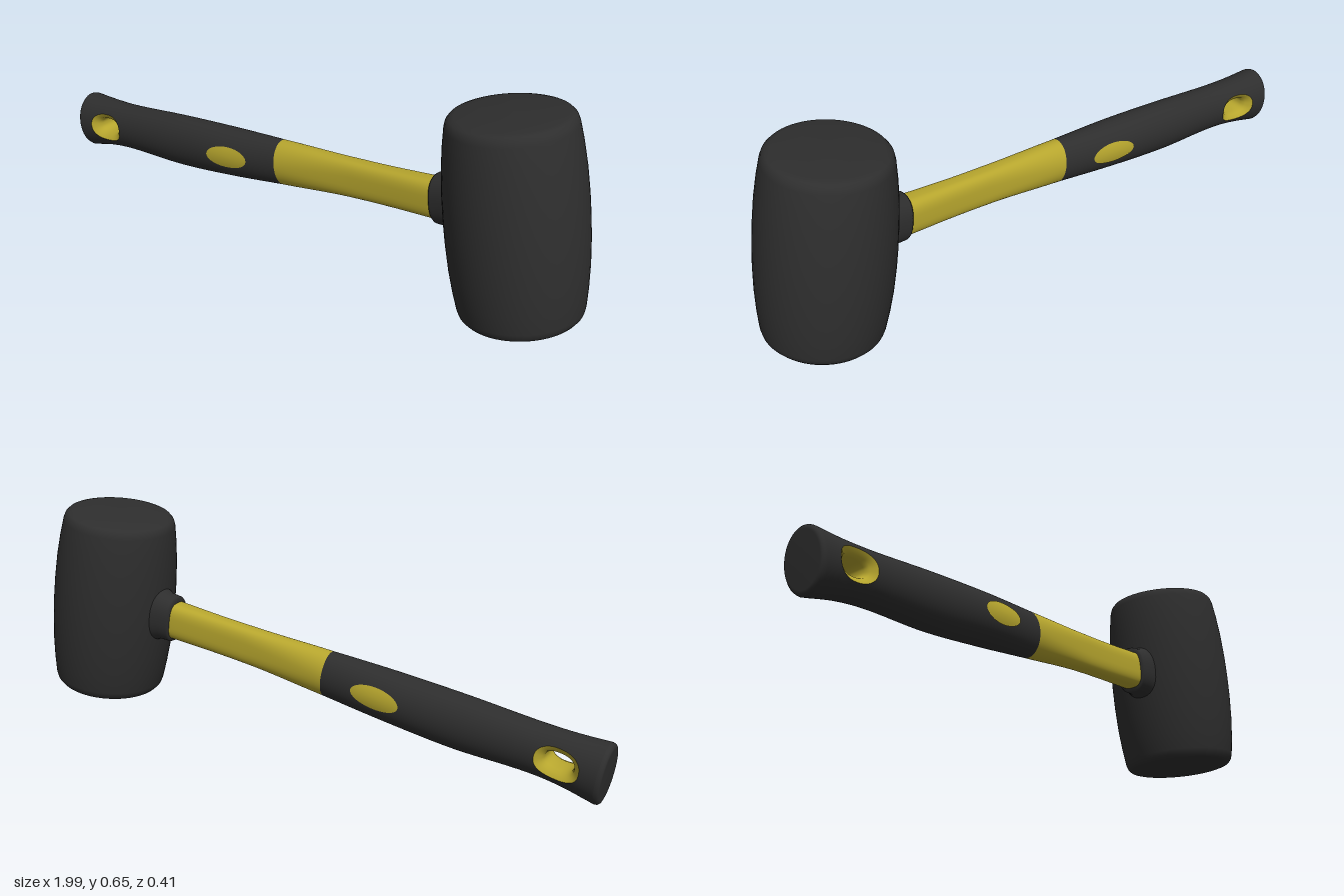
import * as THREE from 'three';
import { mergeVertices } from 'three/addons/utils/BufferGeometryUtils.js';

const rubber = new THREE.MeshStandardMaterial({ color: 0x2e2e2e });
rubber.name = 'black rubber';
const yellow = new THREE.MeshStandardMaterial({ color: 0xb8a72e });
yellow.name = 'yellow fibreglass';

// Handle sections along u (distance from the head): bottom, top, half depth, depth centre
const SECTIONS = [
  [-1.755, -0.08, 0.113, 0.073, -0.012],
  [-1.66, -0.066, 0.103, 0.067, -0.01],
  [-1.57, -0.062, 0.098, 0.063, -0.007],
  [-1.3, -0.077, 0.097, 0.067, -0.004],
  [-1.08, -0.074, 0.092, 0.067, -0.002],
  [-0.85, -0.066, 0.084, 0.053, -0.002],
  [-0.585, -0.054, 0.07, 0.038, -0.002],
  [-0.45, -0.055, 0.066, 0.037, -0.002],
  [-0.25, -0.06, 0.064, 0.043, -0.002],
];
const spline = new THREE.CubicInterpolant(
  SECTIONS.map((s) => s[0]), SECTIONS.flatMap((s) => s.slice(1)), 4, new Float32Array(4));

function section(u) {
  const [bottom, top, w, c] = spline.evaluate(u);
  return { m: (bottom + top) / 2, h: (top - bottom) / 2, w, c };
}

const spow = (x, p) => Math.sign(x) * Math.abs(x) ** p;

// Point on a section: t runs -1..1 from bottom to top, side is +1 or -1, p < 1 squares it off
function rim(u, { m, h, w, c }, t, side, p = 1, scale = 1) {
  const a = t * Math.PI / 2;
  return [u, m + scale * h * spow(Math.sin(a), p),
    c + side * scale * w * Math.max(0, Math.cos(a)) ** p];
}

// Height of the handle surface over a side-view point
function surfaceZ(u, v, side) {
  const { m, h, w, c } = section(u);
  return c + side * w * Math.sqrt(Math.max(0, 1 - ((v - m) / h) ** 2));
}

// Add a grid of triangles; the back side is wound the other way
function sheet(out, ni, nj, side, point) {
  for (let i = 0; i < ni; i++) {
    for (let j = 0; j < nj; j++) {
      const a = point(i, j), b = point(i + 1, j), c = point(i, j + 1), d = point(i + 1, j + 1);
      out.push(...(side > 0 ? [a, b, d, a, d, c] : [a, d, b, a, c, d]).flat());
    }
  }
}

function weld(name, positions, material) {
  const geo = new THREE.BufferGeometry();
  geo.setAttribute('position', new THREE.Float32BufferAttribute(positions, 3));
  const welded = mergeVertices(geo, 1e-5);
  welded.computeVertexNormals();
  const mesh = new THREE.Mesh(welded, material);
  mesh.name = name;
  return mesh;
}

const N = 24; // steps over one side of a section
const SIDES = [1, -1];
const END = -1.755, PATCH = -1.51, GRIP = -0.85, NECK = -0.25;
const HOLE = [-1.634, 0.02];

// Rounded oval round the hanging hole
function oval(angle, rx, ry) {
  return [HOLE[0] + rx * spow(Math.cos(angle), 0.85), HOLE[1] + ry * spow(Math.sin(angle), 0.85)];
}

// Perimeter of the square -1..1, anticlockwise, N points per side
function square(k) {
  const e = Math.floor(k / N) % 4, f = -1 + 2 * (k % N) / N;
  return [[1, f], [-f, 1], [-1, -f], [f, -1]][e];
}

function makeGrip() {
  const out = [];
  for (const side of SIDES) {
    // main sleeve
    sheet(out, 36, N, side, (i, j) => {
      const u = PATCH + (GRIP - PATCH) * i / 36;
      return rim(u, section(u), -1 + 2 * j / N, side);
    });
    // butt end, opened round the hanging hole
    const mid = (END + PATCH) / 2, half = (PATCH - END) / 2;
    sheet(out, 8, 4 * N, side, (i, j) => {
      const [s, t] = square(j);
      const [hu, hv] = oval(Math.atan2(t, s), 0.07, 0.048);
      const sec = section(hu), f = i / 8;
      const s0 = (hu - mid) / half, t0 = Math.asin((hv - sec.m) / sec.h) * 2 / Math.PI;
      const u = mid + half * (s0 + (s - s0) * f);
      return rim(u, section(u), t0 + (t - t0) * f, side);
    });
  }
  return weld('grip', out, rubber);
}

// Rounded cap on the butt
function makeButt() {
  const out = [], sec = section(END);
  const rings = [[-1.771, 0], [-1.77, 0.85], [-1.768, 0.93], [-1.763, 0.98], [END, 1]];
  for (const side of SIDES) {
    sheet(out, 4, N, side, (i, j) =>
      rim(rings[i][0], sec, -1 + 2 * j / N, side, 1, rings[i][1]));
  }
  return weld('gripButt', out, rubber);
}

// Funnel lining of the hanging hole: radii and share of the surface height
function makeHole() {
  const out = [];
  const rings = [[0.045, 0.026, 0], [0.046, 0.027, 0.5], [0.051, 0.032, 0.75], [0.07, 0.048, 1]];
  for (const side of SIDES) {
    sheet(out, 3, 4 * N, side, (i, j) => {
      const [s, t] = square(j), angle = Math.atan2(t, s);
      const [u, v] = oval(angle, rings[i][0], rings[i][1]);
      const c = section(HOLE[0]).c;
      return [u, v, c + (surfaceZ(u, v, side) - c) * rings[i][2]];
    });
  }
  return weld('hangingHole', out, yellow);
}

// Thin oval inlay following the grip
function makeInlay(side) {
  const out = [];
  sheet(out, 5, 40, side, (i, j) => {
    const a = j / 40 * Math.PI * 2, r = i / 5;
    const u = -1.045 + 0.084 * r * Math.cos(a), v = 0.015 + 0.035 * r * Math.sin(a);
    return [u, v, surfaceZ(u, v, side) + side * 0.0025];
  });
  return weld(side > 0 ? 'frontInlay' : 'backInlay', out, yellow);
}

function makeShaft() {
  const out = [];
  for (const side of SIDES) {
    sheet(out, 24, N, side, (i, j) => {
      const f = i / 24, u = GRIP + (NECK - GRIP) * f;
      return rim(u, section(u), -1 + 2 * j / N, side, 1 - 0.35 * Math.min(1, f * 2));
    });
  }
  return weld('shaft', out, yellow);
}

// Rubber collar between shaft and head
function makeCollar() {
  const out = [];
  const rings = [[-0.262, 0.7], [-0.262, 0.92], [-0.255, 0.97], [-0.22, 0.99], [-0.205, 1.08], [-0.15, 1.12]];
  const sec = { m: 0.004, h: 0.081, w: 0.056, c: -0.002 };
  for (const side of SIDES) {
    sheet(out, 5, N, side, (i, j) =>
      rim(rings[i][0], sec, -1 + 2 * j / N, side, 0.85, rings[i][1]));
  }
  return weld('collar', out, rubber);
}

// Barrel-shaped head with softly rounded rims and domed faces
function makeHead() {
  const upper = [[0.204, 0], [0.203, 0.07], [0.199, 0.15], [0.192, 0.22], [0.184, 0.275],
    [0.179, 0.291], [0.17, 0.301], [0.155, 0.306], [0.09, 0.312], [0, 0.314]];
  const lower = upper.slice(1).reverse().map(([r, y]) => [r, -y]);
  const profile = [...lower, ...upper].map(([r, y]) => new THREE.Vector2(r, y));
  const head = new THREE.Mesh(new THREE.LatheGeometry(profile, 64), rubber);
  head.name = 'head';
  return head;
}

export function createModel() {
  const model = new THREE.Group();
  model.name = 'mallet';
  const tilted = new THREE.Group();
  tilted.name = 'tiltedMallet';
  tilted.add(makeHead(), makeCollar(), makeShaft(), makeGrip(), makeButt(), makeHole(),
    ...SIDES.map(makeInlay));
  tilted.position.set(0.772, 0.332, 0);
  tilted.rotation.z = 0.137;
  model.add(tilted);
  return model;
}
